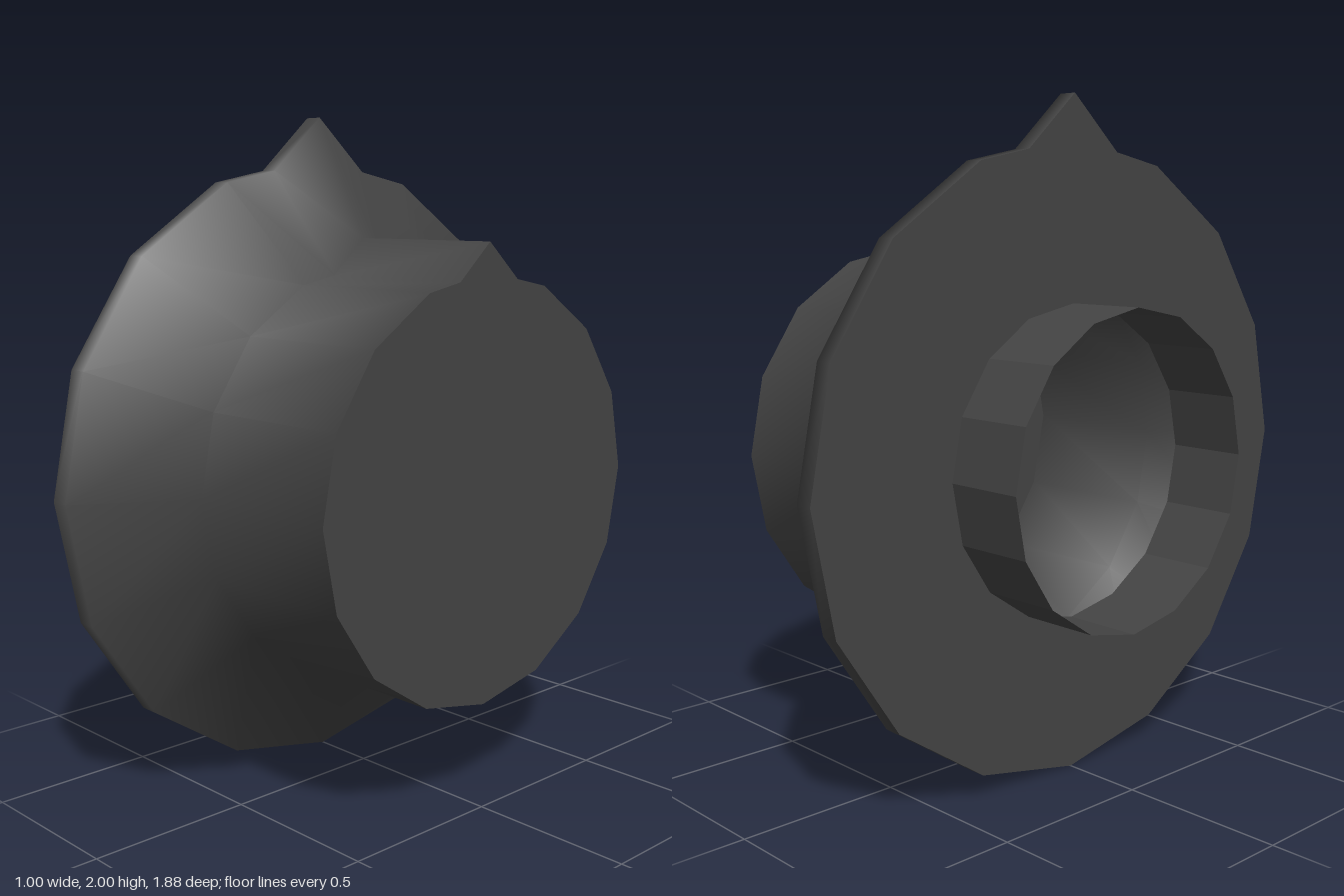
import * as THREE from 'three';

const CY = 0.9375; // height of the axis
const R = 0.9375;  // flange radius

// 16-sided outline with a pointed tooth at the top, as [z, y] about the axis
function outline(scale) {
  const pts = [];
  for (let k = 0; k < 16; k++) {
    const a = (k / 16) * Math.PI * 2;
    pts.push([Math.sin(a) * scale, Math.cos(a) * scale]);
  }
  const mid = (p, q) => [(p[0] + q[0]) / 2, (p[1] + q[1]) / 2];
  const first = mid(pts[0], pts[1]);
  const last = mid(pts[0], pts[15]);
  return [[0, scale * 1.0625 / R], first, ...pts.slice(1), last];
}

const toShape = (pts) => new THREE.Shape(pts.map(([u, v]) => new THREE.Vector2(u, v)));

export function createModel() {
  const model = new THREE.Group();
  const darkGrey = new THREE.MeshStandardMaterial({ color: 0x444444, side: THREE.DoubleSide });
  darkGrey.name = 'darkGrey';

  const add = (name, geometry, x, y) => {
    const mesh = new THREE.Mesh(geometry, darkGrey);
    mesh.name = name;
    mesh.position.set(x, y, 0);
    model.add(mesh);
  };

  // Flange rim, cone and drum as one smooth shell
  const drumR = 0.6215;
  const sections = [[-0.25, R], [-0.193, R], [0, drumR], [0.5, drumR]];
  const positions = [];
  const index = [];
  const n = outline(1).length;
  sections.forEach(([x, r], s) => {
    outline(r).forEach(([z, y], k) => {
      positions.push(x, y, z);
      if (s === sections.length - 1) return;
      const a = s * n + k, b = s * n + (k + 1) % n;
      index.push(a, b, a + n, b, b + n, a + n);
    });
  });
  const shell = new THREE.BufferGeometry();
  shell.setAttribute('position', new THREE.Float32BufferAttribute(positions, 3));
  shell.setIndex(index);
  shell.computeVertexNormals();
  add('knobBody', shell, 0, CY);

  // Flat end of the drum
  add('drumCap', new THREE.ShapeGeometry(toShape(outline(drumR))).rotateY(Math.PI / 2), 0.5, CY);

  // Flange back with the bore cut through it
  const tubeR = 0.468;
  const back = toShape(outline(R));
  const bore = new THREE.Path();
  for (let k = 0; k <= 16; k++) {
    const a = (k / 16) * Math.PI * 2;
    const u = Math.sin(a) * tubeR, v = Math.cos(a) * tubeR;
    if (k === 0) bore.moveTo(u, v);
    else bore.lineTo(u, v);
  }
  back.holes.push(bore);
  add('flangeBack', new THREE.ShapeGeometry(back).rotateY(-Math.PI / 2), -0.25, CY);

  // Open faceted collar
  const collar = new THREE.CylinderGeometry(tubeR, tubeR, 0.25, 16, 1, true)
    .rotateZ(Math.PI / 2).toNonIndexed();
  collar.computeVertexNormals();
  add('collar', collar, -0.375, CY);

  return model;
}
